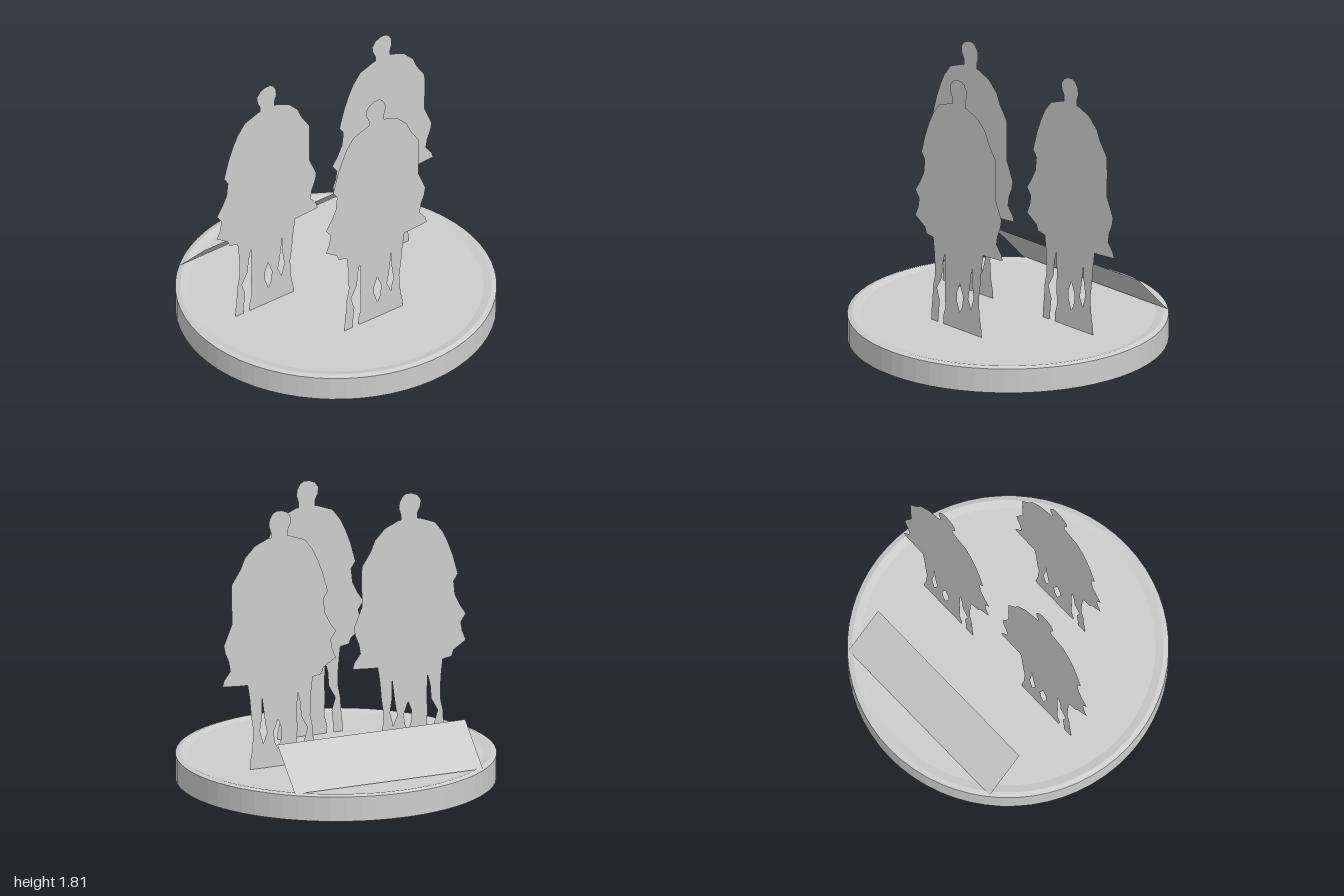
import * as THREE from 'three';

const grey = new THREE.MeshStandardMaterial({ color: 0xcccccc });
grey.name = 'plain grey';
grey.flatShading = true;
grey.side = THREE.DoubleSide;

function add(parent, name, geometry) {
  const mesh = new THREE.Mesh(geometry, grey);
  mesh.name = name;
  parent.add(mesh);
  return mesh;
}

// Flat cutout from rows of [height, left edge, right edge], top to bottom
function cutout(rows) {
  const down = rows.map(([y, , right]) => new THREE.Vector2(right, y));
  const up = rows.map(([y, left]) => new THREE.Vector2(left, y)).reverse();
  return new THREE.ShapeGeometry(new THREE.Shape([...down, ...up]));
}

const head = cutout([
  [1.807, -0.02, 0.02], [1.79, -0.06, 0.045], [1.755, -0.085, 0.065],
  [1.715, -0.08, 0.068], [1.675, -0.06, 0.055], [1.64, -0.06, 0.055],
]);

const cloak = cutout([
  [1.64, -0.07, 0.07], [1.6, -0.18, 0.165], [1.53, -0.235, 0.235], [1.46, -0.27, 0.265],
  [1.37, -0.305, 0.325], [1.245, -0.34, 0.328], [1.2, -0.31, 0.325], [1.11, -0.32, 0.325],
  [1.04, -0.355, 0.355], [0.98, -0.395, 0.38], [0.93, -0.36, 0.37], [0.87, -0.37, 0.345],
  [0.81, -0.395, 0.335], [0.755, -0.31, 0.378], [0.715, -0.295, 0.39], [0.705, -0.235, 0.25],
]);

const rightLeg = cutout([
  [0.705, -0.235, -0.125], [0.62, -0.225, -0.13], [0.55, -0.22, -0.148], [0.46, -0.218, -0.155],
  [0.38, -0.235, -0.2], [0.3, -0.24, -0.175], [0.21, -0.25, -0.185], [0.157, -0.25, -0.19],
]);

const innerRightLeg = cutout([
  [0.705, -0.125, 0.005], [0.62, -0.13, 0.005], [0.46, -0.125, 0.005], [0.4, -0.13, -0.02],
  [0.34, -0.127, -0.02], [0.27, -0.125, 0.005], [0.2, -0.145, 0.005], [0.157, -0.14, 0.03],
]);

const innerLeftLeg = cutout([
  [0.705, 0.005, 0.115], [0.61, 0.005, 0.115], [0.46, 0.005, 0.095], [0.38, 0.035, 0.08],
  [0.31, 0.025, 0.11], [0.27, 0.005, 0.11], [0.2, 0.005, 0.1], [0.157, 0.03, 0.1],
]);

const leftLeg = cutout([
  [0.705, 0.115, 0.215], [0.61, 0.115, 0.2], [0.5, 0.115, 0.19], [0.4, 0.13, 0.175],
  [0.33, 0.11, 0.18], [0.27, 0.11, 0.185], [0.2, 0.1, 0.2], [0.157, 0.1, 0.2],
]);

// Flat cloaked figure standing on the base
function createFigure(name, x, z) {
  const figure = new THREE.Group();
  figure.name = name;
  add(figure, 'head', head);
  add(figure, 'cloak', cloak);
  add(figure, 'rightLeg', rightLeg);
  add(figure, 'innerRightLeg', innerRightLeg);
  add(figure, 'innerLeftLeg', innerLeftLeg);
  add(figure, 'leftLeg', leftLeg);
  figure.position.set(x, 0, z);
  return figure;
}

export function createModel() {
  const group = new THREE.Group();
  group.name = 'figureDisplay';

  // Round base with bevelled rim and shallow recess
  const profile = [[0, 0], [1, 0], [1, 0.158], [0.968, 0.168], [0.918, 0.156], [0, 0.156]]
    .map(([r, y]) => new THREE.Vector2(r, y));
  add(group, 'base', new THREE.LatheGeometry(profile, 64));

  // Three matching figures, the middle one in front
  group.add(
    createFigure('rightFigure', -0.45, -0.11),
    createFigure('middleFigure', 0, 0.42),
    createFigure('leftFigure', 0.45, -0.11),
  );

  // Sloping plaque at the back, facing up and backward
  const plaque = add(group, 'slopingPlaque', new THREE.PlaneGeometry(1.3, Math.hypot(0.25, 0.255)));
  plaque.rotation.set(-Math.atan2(0.25, 0.255), Math.PI, 0, 'YXZ');
  plaque.position.set(0, 0.2925, -0.625);

  return group;
}
